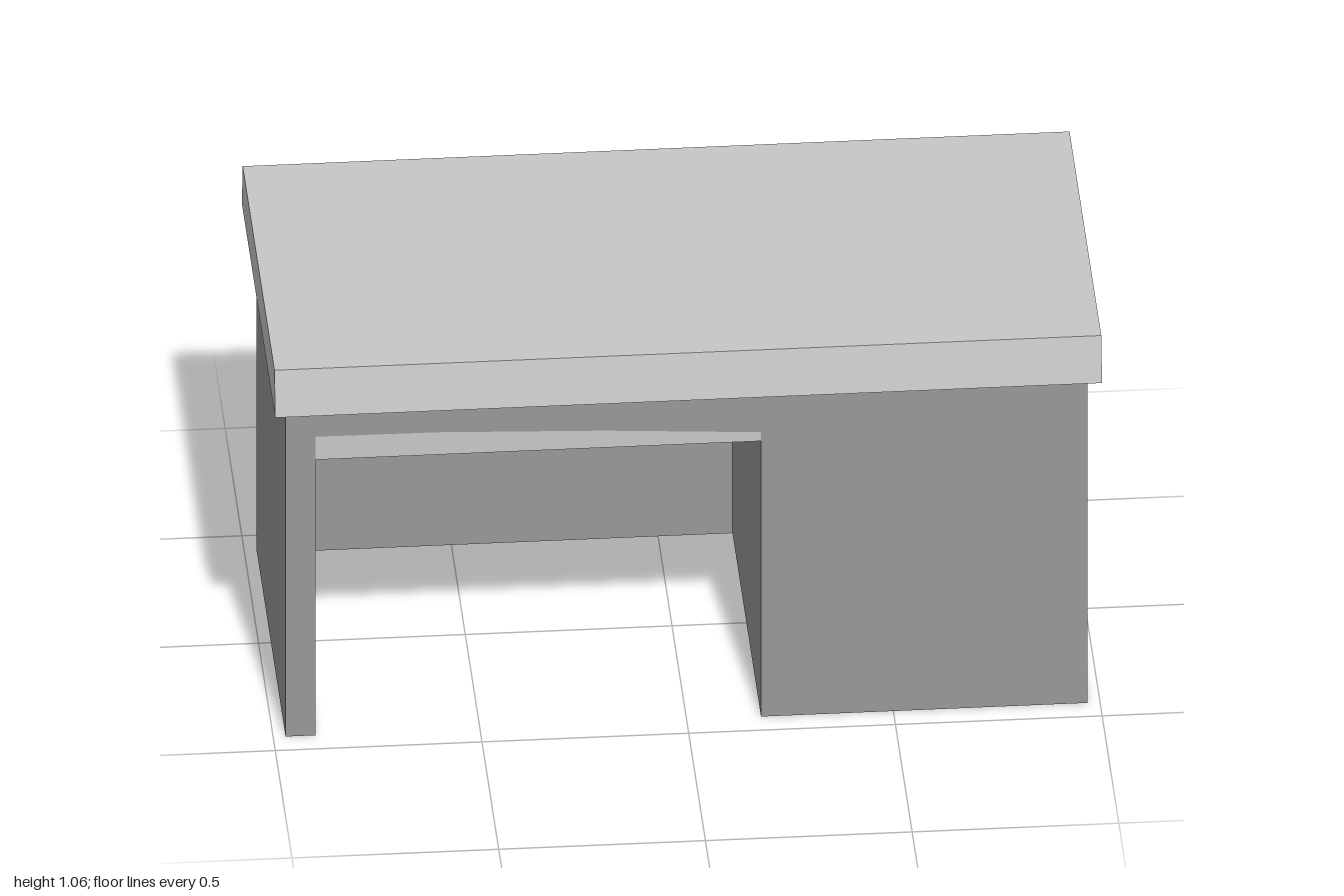
import * as THREE from 'three';

// Closed shape from a short list of corner points
const outline = (points) => new THREE.Shape(points.map(([x, y]) => new THREE.Vector2(x, y)));

export function createModel() {
  const desk = new THREE.Group();
  desk.name = 'desk';

  // The carcass is an open-bottomed shell of thin sheets
  const bodyGrey = new THREE.MeshStandardMaterial({ color: 0x989898, side: THREE.DoubleSide });
  bodyGrey.name = 'body grey';
  const topGrey = new THREE.MeshStandardMaterial({ color: 0xc7c7c7 });
  topGrey.name = 'top grey';

  const add = (name, geometry, material, x = 0, y = 0, z = 0) => {
    const mesh = new THREE.Mesh(geometry, material);
    mesh.name = name;
    mesh.position.set(x, y, z);
    desk.add(mesh);
    return mesh;
  };

  const halfWidth = 0.97, halfDepth = 0.437, bodyHeight = 0.938;
  const kneeLeft = -0.898, kneeRight = 0.18, kneeTop = 0.778;
  const kneeBack = -halfDepth + 0.02;
  const kneeWidth = kneeRight - kneeLeft, kneeDepth = halfDepth - kneeBack;
  const kneeX = (kneeLeft + kneeRight) / 2, kneeZ = (halfDepth + kneeBack) / 2;

  // Upright sheet facing along x; facing is 1 or -1
  const sideSheet = (name, depth, height, facing, x, z) =>
    add(name, new THREE.PlaneGeometry(depth, height).rotateY(facing * Math.PI / 2),
      bodyGrey, x, height / 2, z);

  // Front sheet cut away around the kneehole
  add('front', new THREE.ShapeGeometry(outline([
    [-halfWidth, 0], [kneeLeft, 0], [kneeLeft, kneeTop], [kneeRight, kneeTop],
    [kneeRight, 0], [halfWidth, 0], [halfWidth, bodyHeight], [-halfWidth, bodyHeight],
  ])), bodyGrey, 0, 0, halfDepth);

  // Outer back and sides
  add('back', new THREE.PlaneGeometry(2 * halfWidth, bodyHeight).rotateY(Math.PI),
    bodyGrey, 0, bodyHeight / 2, -halfDepth);
  sideSheet('leftSide', 2 * halfDepth, bodyHeight, 1, halfWidth, 0);
  sideSheet('rightSide', 2 * halfDepth, bodyHeight, -1, -halfWidth, 0);

  // Kneehole lining
  sideSheet('kneeholeRightWall', kneeDepth, kneeTop, 1, kneeLeft, kneeZ);
  sideSheet('kneeholeLeftWall', kneeDepth, kneeTop, -1, kneeRight, kneeZ);
  add('kneeholeBack', new THREE.PlaneGeometry(kneeWidth, kneeTop),
    bodyGrey, kneeX, kneeTop / 2, kneeBack);
  add('kneeholeCeiling', new THREE.PlaneGeometry(kneeWidth, kneeDepth).rotateX(Math.PI / 2),
    bodyGrey, kneeX, kneeTop, kneeZ);

  // Pale tapering strip above the kneehole
  add('kneeholeTrim', new THREE.ShapeGeometry(outline([
    [kneeLeft, kneeTop], [kneeRight, kneeTop], [kneeRight, 0.803],
    [-0.2, 0.826], [-0.6, 0.841], [kneeLeft, 0.843],
  ])), topGrey, 0, 0, halfDepth + 0.001);

  // Worktop with sloping front and back edges, running along x
  const worktop = new THREE.ExtrudeGeometry(outline([
    [-0.498, bodyHeight], [0.498, bodyHeight], [0.475, 1.058], [-0.475, 1.058],
  ]), { depth: 2, bevelEnabled: false });
  worktop.translate(0, 0, -1).rotateY(Math.PI / 2);
  add('worktop', worktop, topGrey);

  return desk;
}
